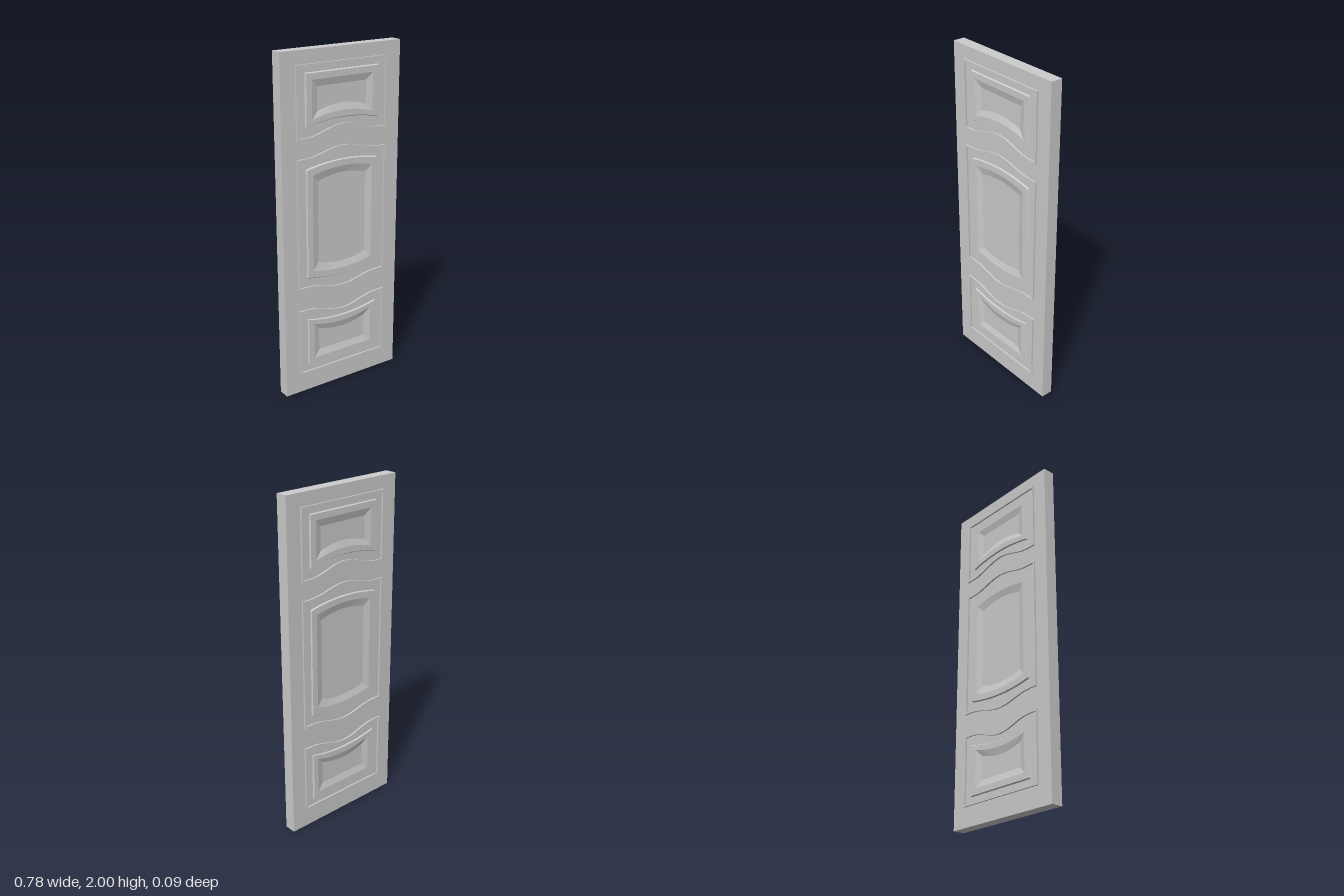
import * as THREE from 'three';

const material = new THREE.MeshStandardMaterial({ color: 0xcccccc, flatShading: true });
const COLUMNS = 12;
const FACE = 0.035; // half thickness of the slab

// Edge curves: u runs from -1 to 1 across the panel
const flat = y => () => y;
const arch = (corner, middle) => u => middle + (corner - middle) * u * u;
const ogee = (corner, middle) => u =>
  middle + (corner - middle) * (1 - Math.cos(Math.PI * Math.min(1, Math.abs(u) / 0.83))) / 2;

// Each panel: outer moulding and inner field, as bottom and top edges
const panels = [
  { name: 'lower', frame: [flat(0.115), ogee(0.523, 0.473)], field: [flat(0.16), arch(0.46, 0.43)] },
  { name: 'middle', frame: [ogee(0.653, 0.612), ogee(1.417, 1.46)], field: [arch(0.715, 0.69), arch(1.355, 1.382)] },
  { name: 'upper', frame: [ogee(1.52, 1.571), flat(1.925)], field: [arch(1.585, 1.615), flat(1.88)] },
];

// Closed loop of points, anticlockwise, moved inwards by inset
function outline(halfWidth, [bottom, top], inset = 0) {
  const low = [], high = [];
  for (let i = 0; i <= COLUMNS; i++) {
    const u = -1 + (2 * i) / COLUMNS;
    const x = u * (halfWidth - inset);
    low.push(new THREE.Vector2(x, bottom(u) + inset));
    high.unshift(new THREE.Vector2(x, top(u) - inset));
  }
  return [...low, ...high];
}

// Joins loops given as [inset, z] steps, from the outside inwards
function relief(name, halfWidth, edges, steps, capped) {
  const rings = steps.map(([inset, z]) =>
    outline(halfWidth, edges, inset).map(p => [p.x, p.y, z]));
  const count = rings[0].length;
  const positions = [];
  const quad = (a, b, c, d) => positions.push(...a, ...b, ...c, ...a, ...c, ...d);
  for (let r = 0; r < rings.length - 1; r++) {
    for (let i = 0; i < count; i++) {
      const j = (i + 1) % count;
      quad(rings[r][i], rings[r][j], rings[r + 1][j], rings[r + 1][i]);
    }
  }
  if (capped) {
    const last = rings[rings.length - 1];
    for (let i = 0; i < COLUMNS; i++) {
      quad(last[i], last[i + 1], last[count - 2 - i], last[count - 1 - i]);
    }
  }
  const geometry = new THREE.BufferGeometry();
  geometry.setAttribute('position', new THREE.Float32BufferAttribute(positions, 3));
  geometry.computeVertexNormals();
  const mesh = new THREE.Mesh(geometry, material);
  mesh.name = name;
  return mesh;
}

// Door slab with openings for the panel fields
function createSlab() {
  const shape = new THREE.Shape([[-0.39, 0], [0.39, 0], [0.39, 2], [-0.39, 2]]
    .map(([x, y]) => new THREE.Vector2(x, y)));
  for (const p of panels) shape.holes.push(new THREE.Path(outline(0.24, p.field).reverse()));
  const geometry = new THREE.ExtrudeGeometry(shape, { depth: 2 * FACE, bevelEnabled: false });
  geometry.translate(0, 0, -FACE);
  const mesh = new THREE.Mesh(geometry, material);
  mesh.name = 'slab';
  return mesh;
}

// Mouldings and dished fields of one side
function createSide(name) {
  const side = new THREE.Group();
  side.name = name;
  for (const p of panels) {
    side.add(relief(p.name + 'Moulding', 0.298, p.frame,
      [[0, FACE], [0, 0.045], [0.011, 0.045], [0.011, FACE]], false));
    side.add(relief(p.name + 'Field', 0.24, p.field,
      [[0, FACE], [0.005, 0.043], [0.04, 0.043], [0.08, 0.032]], true));
  }
  return side;
}

export function createModel() {
  const door = new THREE.Group();
  door.name = 'panelDoor';
  const back = createSide('backPanels');
  back.rotation.y = Math.PI;
  door.add(createSlab(), createSide('frontPanels'), back);
  return door;
}
